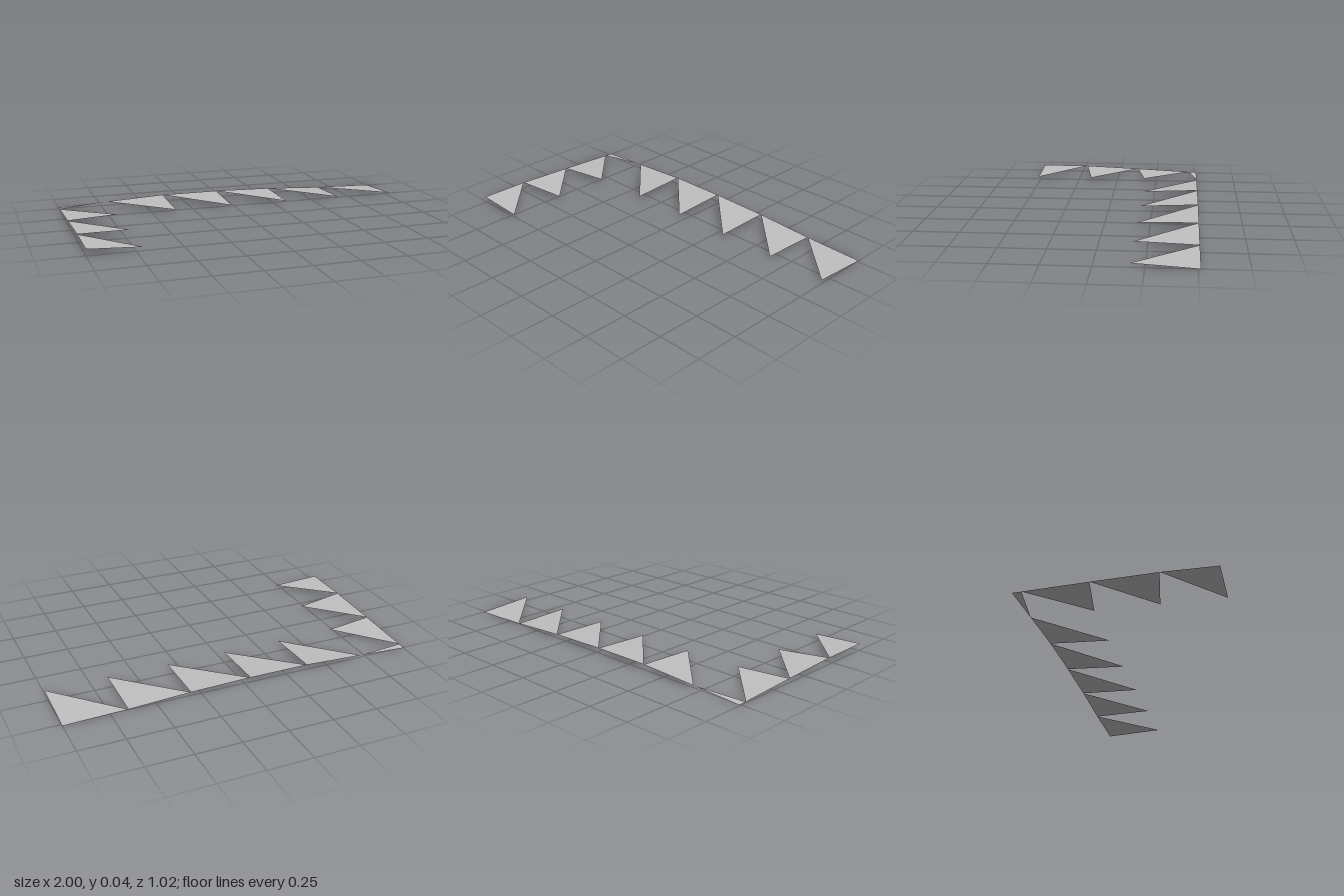
import * as THREE from 'three';

export function createModel() {
  const model = new THREE.Group();
  const grey = new THREE.MeshStandardMaterial({ color: 0xbfbfbf, side: THREE.DoubleSide });
  grey.name = 'plain grey';

  // One thin triangular pennant, corners counter-clockwise from above
  function pennant(name, a, b, c) {
    const geometry = new THREE.BufferGeometry();
    geometry.setAttribute('position', new THREE.Float32BufferAttribute([...a, ...b, ...c], 3));
    geometry.computeVertexNormals();
    const mesh = new THREE.Mesh(geometry, grey);
    mesh.name = name;
    model.add(mesh);
  }

  const back = -0.513, side = -1, tipX = -0.712;

  // Row along the back: points on the gently waving edge as [x, y]
  const backEdge = [[-0.712, 0.019], [-0.37, 0.035], [-0.03, 0.035], [0.312, 0.027], [0.655, 0.009], [1, 0]];
  for (let i = 0; i < 5; i++) {
    const [x0, y0] = backEdge[i], [x1, y1] = backEdge[i + 1];
    pennant('backPennant' + (i + 1), [x0, y0, back], [x1, 0.021, -0.178], [x1, y1, back]);
  }

  // Row along the right side: edge points as [z, y] and the z of each tip
  const sideEdge = [[-0.465, 0.006], [-0.123, 0.022], [0.22, 0.036], [0.51, 0.037]];
  const tips = [-0.175, 0.168, 0.51];
  tips.forEach((tipZ, i) => {
    const [z0, y0] = sideEdge[i], [z1, y1] = sideEdge[i + 1];
    pennant('sidePennant' + (i + 1), [side, y0, z0], [side, y1, z1], [tipX, 0.022, tipZ]);
  });

  // Narrow sliver joining the two rows at the corner
  pennant('cornerPennant', [side, 0.004, back], [side, 0.006, -0.465], [tipX, 0.019, back]);

  return model;
}
